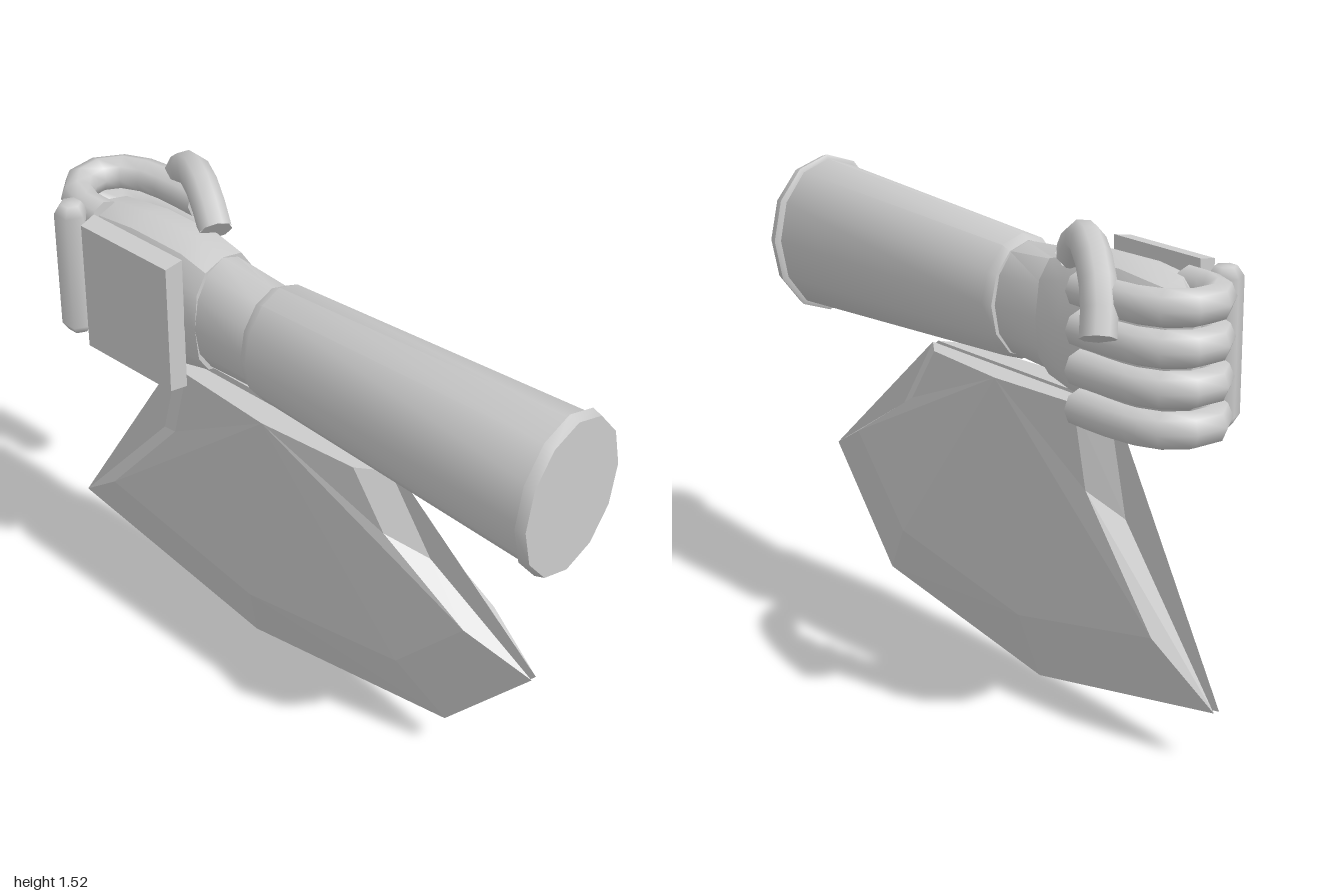
import * as THREE from 'three';
import { toCreasedNormals } from 'three/addons/utils/BufferGeometryUtils.js';

const CX = -0.065, CY = 1.188;
const grey = new THREE.MeshStandardMaterial({ color: 0xcccccc });
const greyFlat = new THREE.MeshStandardMaterial({ color: 0xcccccc, flatShading: true, side: THREE.DoubleSide });

function part(name, geometry, material = grey) {
  const mesh = new THREE.Mesh(geometry, material);
  mesh.name = name;
  return mesh;
}

function build(positions, index) {
  const geo = new THREE.BufferGeometry();
  geo.setAttribute('position', new THREE.Float32BufferAttribute(positions, 3));
  geo.setIndex(index);
  geo.computeVertexNormals();
  return geo;
}

// Closed loft along z; sections are [z, centreX, centreY, radiusX, radiusY] in rising z
function loft(sections, power = 1, sides = 12) {
  const pos = [], idx = [];
  const bend = (v) => Math.sign(v) * Math.abs(v) ** power;
  for (const [z, cx, cy, rx, ry] of sections) {
    for (let j = 0; j < sides; j++) {
      const t = (j / sides) * Math.PI * 2;
      pos.push(cx + rx * bend(Math.cos(t)), cy + ry * bend(Math.sin(t)), z);
    }
  }
  const last = sections.length - 1, c0 = pos.length / 3;
  for (const k of [0, last]) pos.push(sections[k][1], sections[k][2], sections[k][0]);
  for (let j = 0; j < sides; j++) {
    const n = (j + 1) % sides;
    for (let i = 0; i < last; i++) {
      const a = i * sides + j, b = i * sides + n;
      idx.push(a, b, b + sides, a, b + sides, a + sides);
    }
    idx.push(c0, n, j, c0 + 1, last * sides + j, last * sides + n);
  }
  return toCreasedNormals(build(pos, idx), 0.62);
}

// Bent round bar with flat ends
function bar(name, points, radius, segments) {
  const group = new THREE.Group();
  group.name = name;
  const curve = new THREE.CatmullRomCurve3(points.map((p) => new THREE.Vector3(...p)));
  group.add(part('bar', new THREE.TubeGeometry(curve, segments, radius, 8)));
  for (const t of [0, 1]) {
    const cap = part('barEnd', new THREE.CircleGeometry(radius, 8), greyFlat);
    const p = curve.getPointAt(t);
    cap.position.copy(p);
    cap.lookAt(p.clone().addScaledVector(curve.getTangentAt(t), t ? 1 : -1));
    group.add(cap);
  }
  return group;
}

// One half of the split blade: bevelled outside, flat inside
function bladeHalf(side) {
  const rim = [[0.37, 0.95], [0.53, 0.71], [0.92, 0.475], [0.61, 0.12],
    [-0.18, 0.005], [-0.965, 0.165], [-0.57, 0.63], [-0.49, 0.95]];
  const face = [[0.28, 0.95], [0.4, 0.77], [0.71, 0.58], [0.46, 0.305],
    [-0.15, 0.21], [-0.76, 0.34], [-0.46, 0.7], [-0.4, 0.95]];
  const pos = [], idx = [];
  const tri = (a, b, c) => (side > 0 ? idx.push(a, b, c) : idx.push(a, c, b));
  const add = ([z, y], offset) => pos.push(CX + side * offset, y, z);
  rim.forEach((p) => add(p, 0.01));
  face.forEach((p) => add(p, 0.07));
  add([-0.06, 0.95], 0.095);
  for (let i = 0; i < 7; i++) {
    tri(i, i + 1, i + 9);
    tri(i, i + 9, i + 8);
    tri(16, i + 8, i + 9);
  }
  // Inner sheet spans straight across the side notches
  const inner = [0, 2, 3, 4, 5, 7];
  for (let i = 1; i < inner.length - 1; i++) tri(0, inner[i + 1], inner[i]);
  // Top edge
  tri(0, 8, 16);
  tri(0, 16, 7);
  tri(7, 16, 15);
  return build(pos, idx);
}

export function createModel() {
  const model = new THREE.Group();

  // Forearm with end rim and wrist
  model.add(part('forearm', loft([
    [-0.1, CX, 1.186, 0.138, 0.178], [-0.07, CX, 1.187, 0.15, 0.193], [0.97, CX, CY, 0.19, 0.249],
  ])));
  model.add(part('endRim', loft([
    [0.962, CX, CY, 0.195, 0.25], [0.968, CX, CY, 0.21, 0.262], [1, CX, CY, 0.203, 0.252],
  ])));
  model.add(part('wrist', loft([
    [-0.31, -0.062, CY, 0.125, 0.192], [-0.09, -0.065, 1.186, 0.125, 0.176],
  ])));

  // Palm, tapering into the grip
  model.add(part('palm', loft([
    [-0.87, -0.045, CY, 0.025, 0.14], [-0.77, -0.068, CY, 0.115, 0.2], [-0.6, -0.063, CY, 0.125, 0.222],
    [-0.4, -0.06, CY, 0.128, 0.219], [-0.3, -0.06, CY, 0.127, 0.192],
  ], 0.75)));

  // Four curled fingers
  for (let i = 0; i < 4; i++) {
    const y = 1.355 - i * 0.113;
    model.add(bar('finger', [
      [-0.115, y, -0.745], [-0.11, y, -0.84], [-0.06, y, -0.925], [0.015, y, -0.948],
      [0.09, y, -0.92], [0.137, y, -0.84], [0.15, y, -0.74], [0.148, y, -0.6],
    ], 0.054, 9));
  }

  // Thumb arching over the top
  model.add(bar('thumb', [
    [0.01, 1.395, -0.4], [0.052, 1.452, -0.475], [0.105, 1.478, -0.57],
    [0.158, 1.44, -0.67], [0.203, 1.36, -0.745], [0.235, 1.265, -0.78],
  ], 0.052, 7));

  // Plate on the back of the hand, outer face slightly inset
  const plate = new THREE.BoxGeometry(0.06, 0.45, 0.37);
  const p = plate.attributes.position;
  for (let i = 0; i < p.count; i++) {
    if (p.getX(i) < 0) p.setXYZ(i, p.getX(i), p.getY(i) * 0.96, p.getZ(i) * 0.96);
  }
  plate.translate(-0.215, 1.185, -0.53);
  model.add(part('handPlate', plate, greyFlat));

  // Upright knuckle bar
  const profile = [[0, 0.955], [0.032, 0.955], [0.053, 0.985], [0.053, 1.38], [0.032, 1.41], [0, 1.41]];
  const knuckle = part('knuckleBar', new THREE.LatheGeometry(profile.map(([r, y]) => new THREE.Vector2(r, y)), 6));
  knuckle.position.set(-0.187, 0, -0.815);
  model.add(knuckle);

  // Split blade below the arm
  const blade = new THREE.Group();
  blade.name = 'blade';
  blade.add(part('leftBladeHalf', bladeHalf(1), greyFlat), part('rightBladeHalf', bladeHalf(-1), greyFlat));
  model.add(blade);

  return model;
}
